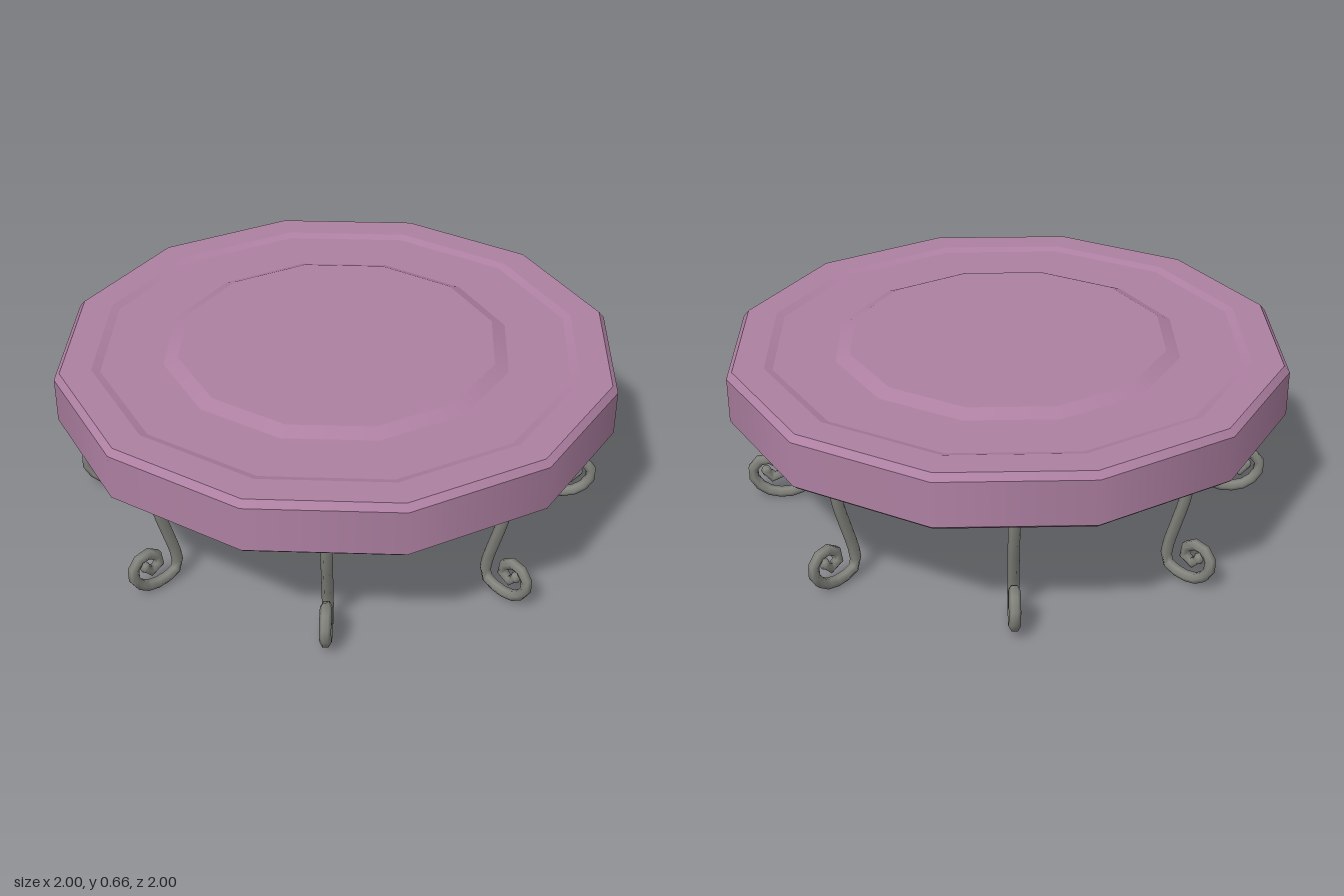
import * as THREE from 'three';

const mauve = new THREE.MeshStandardMaterial({ color: 0xae80a2 });
mauve.name = 'mauve top';
const iron = new THREE.MeshStandardMaterial({ color: 0x83847d });
iron.name = 'grey iron';
const copper = new THREE.MeshStandardMaterial({ color: 0xd8873a });
copper.name = 'orange copper';

function addMesh(parent, name, geometry, material) {
  const mesh = new THREE.Mesh(geometry, material);
  mesh.name = name;
  parent.add(mesh);
  return mesh;
}

// Lathe with hard edges along the profile and smooth shading around it
function creasedLathe(profile, sides) {
  const points = profile.flatMap(([r, y]) => [new THREE.Vector2(r, y), new THREE.Vector2(r, y)]);
  return new THREE.LatheGeometry(points.slice(1, -1), sides);
}

// Bar swept along a path of [radius, height] pairs
function bar(path, thickness, segments) {
  const curve = new THREE.CatmullRomCurve3(path.map(([r, y]) => new THREE.Vector3(r, y, 0)), false, 'centripetal');
  return new THREE.TubeGeometry(curve, segments, thickness, 6);
}

export function createModel() {
  const table = new THREE.Group();
  table.name = 'table';

  // Twelve-sided top: hollow below, with a shallow sunk ring and raised centre above
  const topProfile = [
    [0, 0.585], [0.9, 0.585], [0.945, 0.465], [0.955, 0.455], [0.985, 0.455], [1, 0.468],
    [1, 0.63], [0.98, 0.653], [0.87, 0.653], [0.84, 0.643],
    [0.62, 0.643], [0.57, 0.665], [0, 0.665],
  ];
  addMesh(table, 'tableTop', creasedLathe(topProfile, 12), mauve);

  // Eight legs: arm from the hub, arch under the top, then a scrolled foot
  const legPath = [
    [0, 0.402], [0.15, 0.405], [0.28, 0.42], [0.45, 0.46], [0.65, 0.505], [0.76, 0.51],
    [0.82, 0.485], [0.835, 0.43], [0.82, 0.32], [0.785, 0.2], [0.76, 0.11], [0.76, 0.05],
    [0.82, 0.027], [0.89, 0.037], [0.935, 0.08], [0.94, 0.13], [0.9, 0.168],
    [0.85, 0.155], [0.832, 0.115], [0.855, 0.09], [0.89, 0.105], [0.892, 0.118],
  ];
  const legGeometry = bar(legPath, 0.02, 44);
  const tipGeometry = new THREE.SphereGeometry(0.02, 6, 4);
  for (let i = 0; i < 8; i++) {
    const leg = new THREE.Group();
    leg.name = 'leg';
    leg.rotation.y = i * Math.PI / 4;
    addMesh(leg, 'scrolledBar', legGeometry, iron);
    addMesh(leg, 'scrollTip', tipGeometry, iron).position.set(0.892, 0.118, 0);
    table.add(leg);
  }

  // Shallow boss under the middle of the top
  const bossProfile = [[0, 0.49], [0.06, 0.505], [0.11, 0.54], [0.13, 0.59]]
    .map(([r, y]) => new THREE.Vector2(r, y));
  addMesh(table, 'centreBoss', new THREE.LatheGeometry(bossProfile, 10), iron);

  // Basket of curved ribs around the hub
  const ribGeometry = bar([[0, 0.36], [0.045, 0.368], [0.08, 0.4], [0.092, 0.445], [0.075, 0.49], [0.03, 0.525]], 0.012, 10);
  for (let i = 0; i < 8; i++) {
    addMesh(table, 'basketRib', ribGeometry, copper).rotation.y = (i + 0.5) * Math.PI / 4;
  }

  return table;
}
